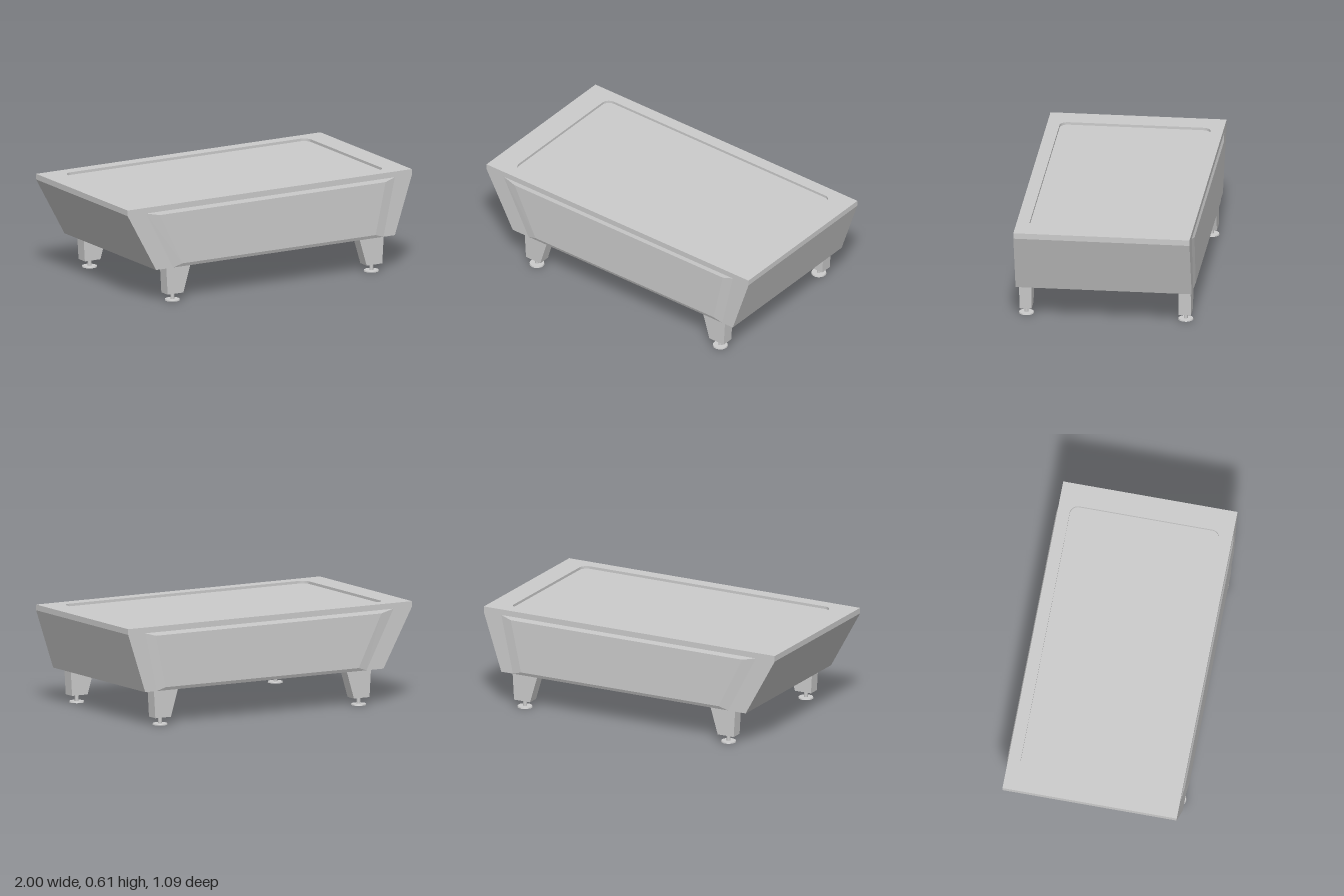
import * as THREE from 'three';

const material = new THREE.MeshStandardMaterial({ color: 0xcccccc });
const Z_MID = 0.001, HALF_DEPTH = 0.534;
const RIM_Y = 0.61, BED_Y = 0.594, BASE_Y = 0.215;

function addMesh(parent, name, geometry, x = 0, y = 0, z = 0) {
  const mesh = new THREE.Mesh(geometry, material);
  mesh.name = name;
  mesh.position.set(x, y, z);
  parent.add(mesh);
  return mesh;
}

const polygon = (points) => new THREE.Shape(points.map(([x, y]) => new THREE.Vector2(x, y)));

// Front-facing profile extruded along z, centred on z = 0
function prism(points, depth) {
  const geometry = new THREE.ExtrudeGeometry(polygon(points), { depth, bevelEnabled: false });
  return geometry.translate(0, 0, -depth / 2);
}

function roundedRect(x0, y0, x1, y1, r) {
  const path = new THREE.Path();
  path.absarc(x1 - r, y1 - r, r, 0, Math.PI / 2);
  path.absarc(x0 + r, y1 - r, r, Math.PI / 2, Math.PI);
  path.absarc(x0 + r, y0 + r, r, Math.PI, Math.PI * 1.5);
  path.absarc(x1 - r, y0 + r, r, Math.PI * 1.5, Math.PI * 2);
  path.closePath();
  return path;
}

// Shallow raised panel: outer and inner four-corner loops, counter-clockwise
function raisedPanel(outer, inner, height) {
  const positions = [
    ...outer.flatMap(([x, y]) => [x, y, 0]),
    ...inner.flatMap(([x, y]) => [x, y, height]),
  ];
  const index = [4, 5, 6, 4, 6, 7];
  for (let i = 0; i < 4; i++) {
    const j = (i + 1) % 4;
    index.push(i, j, j + 4, i, j + 4, i + 4);
  }
  const indexed = new THREE.BufferGeometry();
  indexed.setAttribute('position', new THREE.Float32BufferAttribute(positions, 3));
  indexed.setIndex(index);
  const geometry = indexed.toNonIndexed();
  geometry.computeVertexNormals();
  return geometry;
}

// Mirrors a loop in x and keeps it counter-clockwise
const mirrorLoop = (loop) => loop.map(([x, y]) => [-x, y]).reverse();

export function createModel() {
  const model = new THREE.Group();
  model.name = 'table';

  // Tapered cabinet, its top forming the recessed bed
  addMesh(model, 'cabinet', prism([
    [-0.8, BASE_Y], [0.88, BASE_Y], [1, 0.575], [1, BED_Y], [-1, BED_Y], [-1, 0.575],
  ], HALF_DEPTH * 2), 0, 0, Z_MID);

  // Flat rim around the bed
  const rim = polygon([[-1, -HALF_DEPTH], [1, -HALF_DEPTH], [1, HALF_DEPTH], [-1, HALF_DEPTH]]);
  rim.holes.push(roundedRect(-0.85, -0.456, 0.86, 0.459, 0.05));
  const rimGeometry = new THREE.ExtrudeGeometry(rim, {
    depth: RIM_Y - BED_Y, bevelEnabled: false, curveSegments: 10,
  });
  rimGeometry.rotateX(-Math.PI / 2);
  addMesh(model, 'rim', rimGeometry, 0, BED_Y, Z_MID);

  // Slightly raised panels on the long sides
  const outer = [[-0.68, BASE_Y], [0.8, BASE_Y], [0.88, 0.575], [-0.87, 0.575]];
  const inner = [[-0.62, 0.235], [0.74, 0.235], [0.81, 0.555], [-0.78, 0.555]];
  addMesh(model, 'frontPanel', raisedPanel(outer, inner, 0.008), 0, 0, Z_MID + HALF_DEPTH);
  const back = raisedPanel(mirrorLoop(outer), mirrorLoop(inner), 0.009);
  addMesh(model, 'backPanel', back, 0, 0, Z_MID - HALF_DEPTH).rotation.y = Math.PI;

  // Legs taper on their inner side and stand on levelling feet
  const legProfile = [[-0.055, 0.047], [0.055, 0.047], [0.065, BASE_Y], [-0.105, BASE_Y]];
  for (const side of [-1, 1]) {
    for (const end of [-1, 1]) {
      const leg = new THREE.Group();
      leg.name = (end > 0 ? 'front' : 'back') + (side > 0 ? 'Left' : 'Right') + 'Leg';
      leg.position.set(side > 0 ? 0.745 : -0.655, 0, Z_MID + end * 0.483);
      const profile = side > 0 ? legProfile : mirrorLoop(legProfile);
      addMesh(leg, 'post', prism(profile, 0.074));
      addMesh(leg, 'footStem', new THREE.CylinderGeometry(0.012, 0.012, 0.042, 20), 0, 0.027, 0);
      addMesh(leg, 'footPad', new THREE.CylinderGeometry(0.044, 0.046, 0.008, 28), 0, 0.004, 0);
      model.add(leg);
    }
  }
  return model;
}
